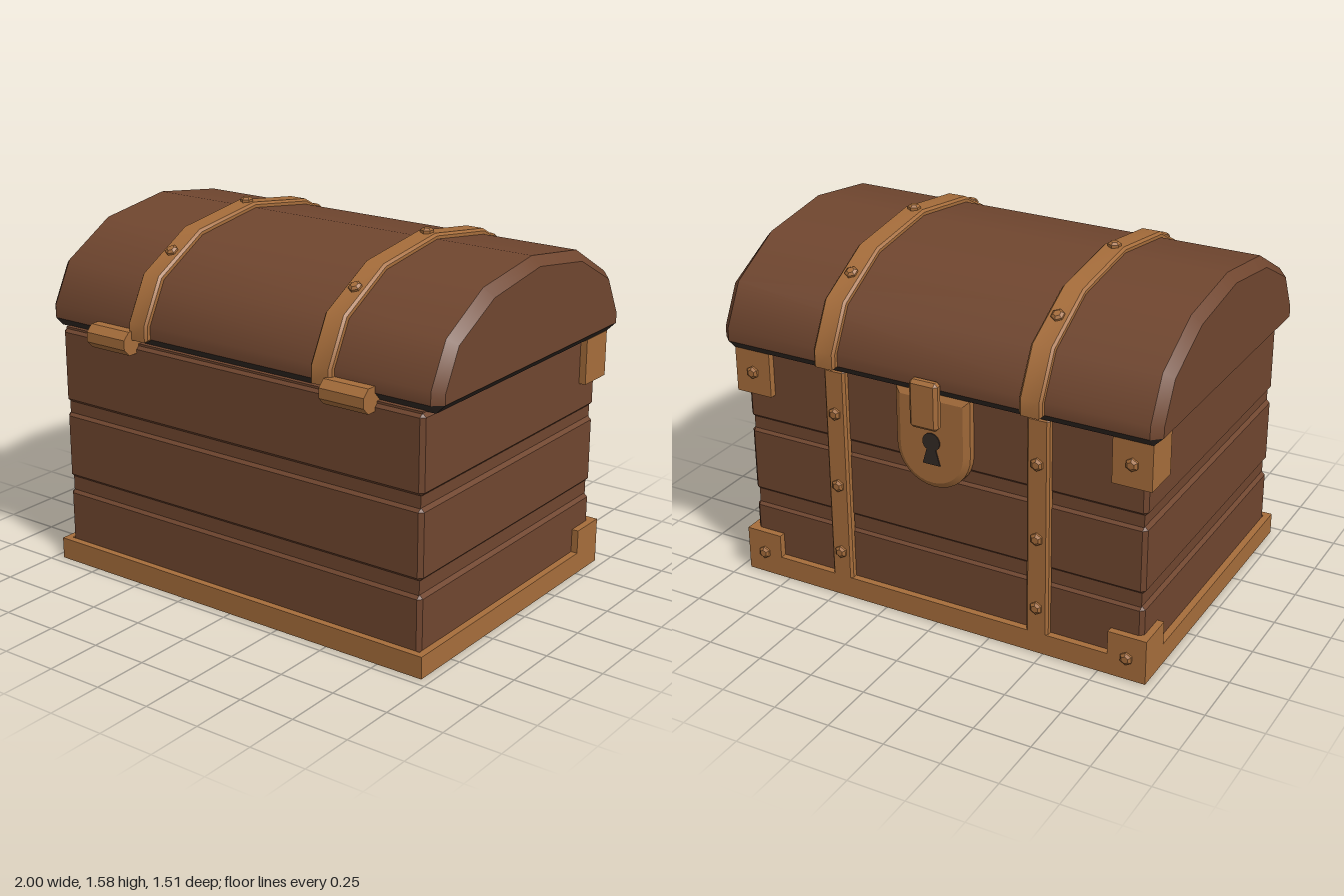
import * as THREE from 'three';
import { toCreasedNormals } from 'three/addons/utils/BufferGeometryUtils.js';
import { ConvexGeometry } from 'three/addons/geometries/ConvexGeometry.js';

const wood = new THREE.MeshStandardMaterial({ color: 0x70462f });
wood.name = 'brown wood';
const brass = new THREE.MeshStandardMaterial({ color: 0xa66d3b });
brass.name = 'brass';
const dark = new THREE.MeshStandardMaterial({ color: 0x332a25 });
dark.name = 'dark gap';

const LID_Z = -0.017; // centre of the lid
const BACK = -0.675; // outer face of the back fittings

export function createModel() {
  const model = new THREE.Group();
  const add = (name, geometry, material) => {
    const mesh = new THREE.Mesh(geometry, material);
    mesh.name = name;
    model.add(mesh);
    return mesh;
  };

  // Box between two corners with all edges cut off by c
  const chamferBox = (name, min, max, c, material) => {
    const pts = [];
    for (let flat = 0; flat < 3; flat++) {
      for (let i = 0; i < 8; i++) {
        const p = [0, 1, 2].map((a) => {
          const high = (i >> a) & 1;
          const inset = a === flat ? 0 : c;
          return high ? max[a] - inset : min[a] + inset;
        });
        pts.push(new THREE.Vector3(...p));
      }
    }
    return add(name, new ConvexGeometry(pts), material);
  };

  const box = (name, min, max, material) => {
    const size = max.map((v, i) => v - min[i]);
    const mesh = add(name, new THREE.BoxGeometry(...size), material);
    mesh.position.set(...max.map((v, i) => (v + min[i]) / 2));
    return mesh;
  };

  // Six-sided rivet, tilted about x
  const rivetProfile = [[0.028, -0.01], [0.028, 0.009], [0.016, 0.018], [0, 0.018]];
  const rivetGeometry = toCreasedNormals(
    new THREE.LatheGeometry(rivetProfile.map((p) => new THREE.Vector2(...p)), 6), 0.3);
  const rivet = (x, y, z, tilt) => {
    const mesh = add('rivet', rivetGeometry, brass);
    mesh.position.set(x, y, z);
    mesh.rotation.x = tilt;
  };

  // Mirrors a right-hand half profile (last point on the axis)
  const mirror = (half) => [...half, ...half.slice(0, -1).reverse().map(([u, y]) => [-u, y])];

  // Body core and planks
  box('bodyCore', [-0.915, 0.012, -0.633], [0.915, 1.075, 0.667], wood);
  box('bottomBoard', [-0.935, 0.008, -0.65], [0.935, 0.06, 0.685], wood);
  for (const [low, high] of [[0.04, 0.33], [0.385, 0.69], [0.735, 1.07]]) {
    chamferBox('plank', [-0.93, low, -0.645], [0.93, high, 0.68], 0.017, wood);
  }

  // Base trim frame
  const rect = (Type, x, back, front) => new Type().moveTo(-x, -front).lineTo(x, -front)
    .lineTo(x, -back).lineTo(-x, -back).closePath();
  const frame = rect(THREE.Shape, 0.96, BACK, 0.71);
  frame.holes.push(rect(THREE.Path, 0.93, -0.645, 0.68));
  const trim = new THREE.ExtrudeGeometry(frame, { depth: 0.095, bevelEnabled: false });
  add('baseTrim', trim.rotateX(-Math.PI / 2), brass);

  // Lid barrel with chamfered ends
  const outer = mirror([[0.698, 1.11], [0.698, 1.165], [0.603, 1.345], [0.355, 1.485], [0, 1.535]]);
  const inner = mirror([[0.66, 1.11], [0.66, 1.155], [0.575, 1.32], [0.335, 1.447], [0, 1.497]]);
  const lidPoints = [];
  for (const [profile, x] of [[outer, 0.96], [inner, 1]]) {
    for (const [u, y] of profile) {
      lidPoints.push(new THREE.Vector3(x, y, u + LID_Z), new THREE.Vector3(-x, y, u + LID_Z));
    }
  }
  add('lid', toCreasedNormals(new ConvexGeometry(lidPoints), 0.6), wood);

  // Dark sloping underside of the lid
  const rimPoints = [];
  for (const sx of [-1, 1]) {
    for (const sz of [-1, 1]) {
      for (const [x, y, u] of [[1, 1.11, 0.66], [0.96, 1.11, 0.698], [0.96, 1.07, 0.66]]) {
        rimPoints.push(new THREE.Vector3(sx * x, y, sz * u + LID_Z));
      }
    }
  }
  add('lidRim', new ConvexGeometry(rimPoints), dark);

  // Straps over the lid and down the back
  const strapOut = mirror([[0.724, 1.1], [0.724, 1.17], [0.625, 1.362], [0.363, 1.508], [0, 1.558]]);
  const strapIn = mirror([[0.67, 1.1], [0.67, 1.15], [0.58, 1.32], [0.34, 1.455], [0, 1.505]]);
  const strapShape = new THREE.Shape(
    [...strapOut, ...strapIn.reverse()].map((p) => new THREE.Vector2(...p)));
  const strapGeometry = toCreasedNormals(new THREE.ExtrudeGeometry(strapShape, {
    depth: 0.08, bevelThickness: 0.01, bevelSize: 0.01, bevelOffset: -0.01, bevelSegments: 1,
  }).translate(0, 0, -0.04).rotateY(-Math.PI / 2), 0.6);

  for (const side of [-1, 1]) {
    const x = side * 0.47;
    add('lidStrap', strapGeometry, brass).position.set(x, 0, LID_Z);
    rivet(x, 1.558, LID_Z, 0);
    rivet(x, 1.435, LID_Z + 0.494, 0.508);
    rivet(x, 1.435, LID_Z - 0.494, -0.508);

    chamferBox('backStrap', [x - 0.05, 0.05, BACK], [x + 0.05, 1.07, -0.63], 0.01, brass);
    for (const y of [0.215, 0.535, 0.87]) rivet(x, y, BACK, -Math.PI / 2);

    // Corner brackets on the back corners
    for (const [low, high, rivetY] of [[0.09, 0.2, 0.1], [0.87, 1.069, 0.97]]) {
      const ends = (a, b) => [Math.min(side * a, side * b), Math.max(side * a, side * b)];
      const [b0, b1] = ends(0.79, 0.96);
      const [s0, s1] = ends(0.92, 0.96);
      box('bracketBack', [b0, low, BACK], [b1, high, -0.635], brass);
      box('bracketSide', [s0, low, -0.64], [s1, high, -0.505], brass);
      rivet(side * 0.875, rivetY, BACK, -Math.PI / 2);
    }

    // Hinge barrel
    const hinge = new THREE.CylinderGeometry(0.055, 0.055, 0.21, 8);
    hinge.rotateY(Math.PI / 8).rotateZ(Math.PI / 2);
    add('hinge', toCreasedNormals(hinge, 0.3), brass).position.set(side * 0.605, 1.087, 0.703);
  }

  // Lock plate with a rounded foot
  const plate = new THREE.Shape().moveTo(0.17, 1.07).lineTo(-0.17, 1.07).lineTo(-0.17, 0.82)
    .absarc(0, 0.82, 0.17, Math.PI, Math.PI * 2, false).closePath();
  const lock = new THREE.ExtrudeGeometry(plate, {
    depth: 0.035, bevelThickness: 0.015, bevelSize: 0.025, bevelOffset: -0.025,
    bevelSegments: 1, curveSegments: 8,
  });
  lock.rotateY(Math.PI).translate(0, 0, -0.64);
  add('lockPlate', toCreasedNormals(lock, 0.5), brass);

  // Keyhole
  const key = new THREE.Shape().moveTo(-0.04, 0.76).lineTo(0.04, 0.76).lineTo(0.02, 0.83)
    .absarc(0, 0.86, 0.04, -0.9, Math.PI + 0.9, false).lineTo(-0.02, 0.83).closePath();
  const keyhole = new THREE.ExtrudeGeometry(key, { depth: 0.006, bevelEnabled: false, curveSegments: 8 });
  add('keyhole', keyhole.rotateY(Math.PI).translate(0, 0, -0.689), dark);

  // Hasp hanging from the lid
  chamferBox('hasp', [-0.065, 0.94, -0.757], [0.065, 1.15, -0.71], 0.014, brass);

  return model;
}
